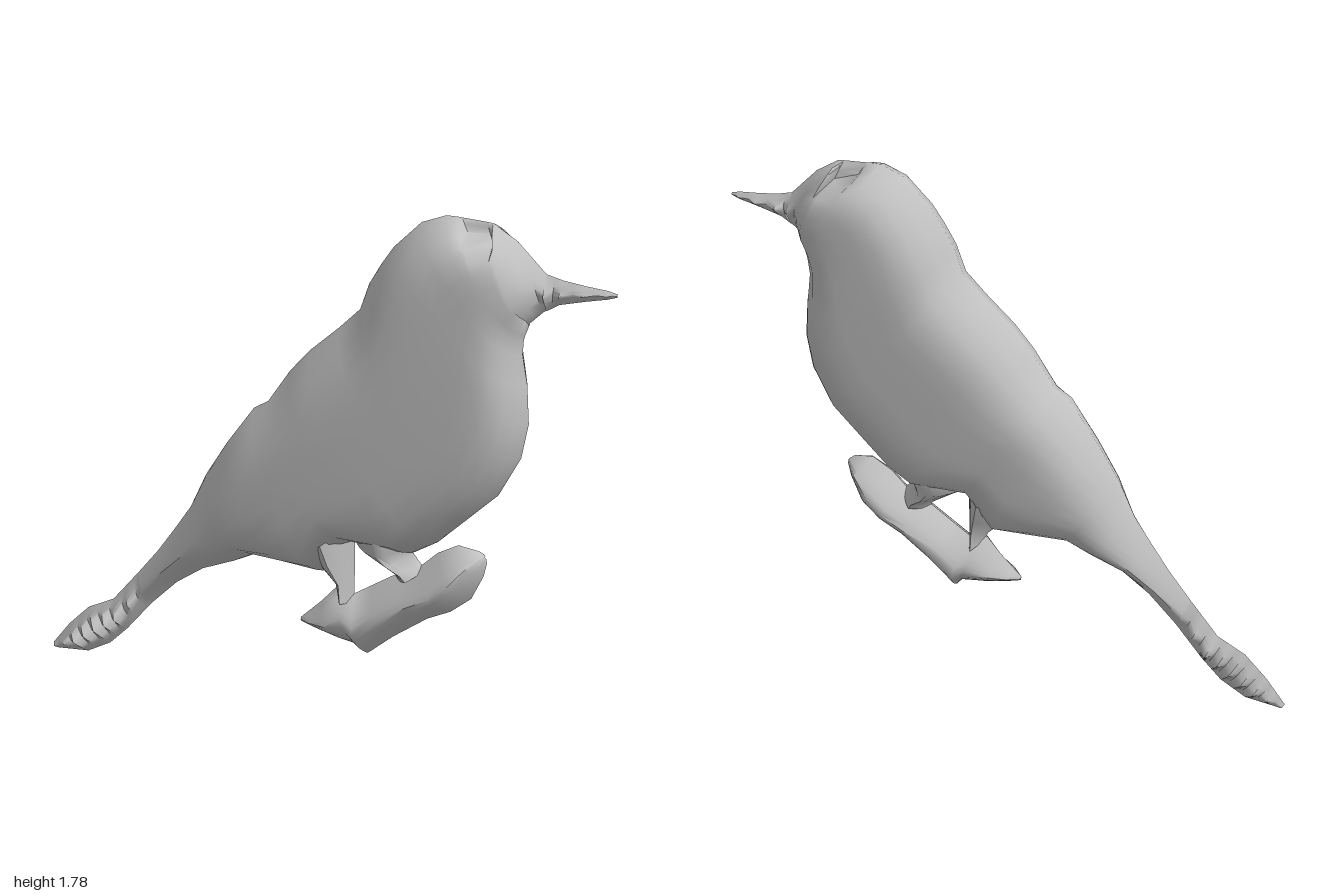
import * as THREE from 'three';
import { toCreasedNormals } from 'three/addons/utils/BufferGeometryUtils.js';

const STEPS = 14; // points across each side of a cross-section

// Each section is [upper x, upper y, lower x, lower y, half thickness, pinch top, pinch bottom].
// The skin swells steeply from a sharp rim to a flat flank on both sides.
function loft(sections) {
  const pos = [], index = [], ring = STEPS * 2;
  for (const [ax, ay, bx, by, h, top = 0, bottom = 0] of sections) {
    const len = Math.hypot(bx - ax, by - ay);
    const power = THREE.MathUtils.clamp(len / 0.13, 1.2, 6);
    for (let j = 0; j < ring; j++) {
      const back = j > STEPS;
      const s = (back ? ring - j : j) / STEPS;
      const u = (1 - Math.cos(s * Math.PI)) / 2;
      let z = h * (1 - Math.pow(Math.abs(2 * u - 1), power));
      if (u * len < top || (1 - u) * len < bottom) z *= 0.2;
      pos.push(ax + (bx - ax) * u, ay + (by - ay) * u, back ? -z : z);
    }
  }
  for (let i = 0; i < sections.length - 1; i++) {
    for (let j = 0; j < ring; j++) {
      const k = (j + 1) % ring;
      const a = i * ring + j, b = i * ring + k;
      index.push(a, b, a + ring, b, b + ring, a + ring);
    }
  }
  const g = new THREE.BufferGeometry();
  g.setAttribute('position', new THREE.Float32BufferAttribute(pos, 3));
  g.setIndex(index);
  return toCreasedNormals(g, 1.0);
}

// Splits sections finely and alternates their thickness for a crinkled surface.
function ruffle(sections, n) {
  const out = [];
  for (let i = 0; i < sections.length - 1; i++) {
    for (let k = 0; k < n; k++) {
      const s = sections[i].map((v, m) => THREE.MathUtils.lerp(v, sections[i + 1][m], k / n));
      if (k % 2) s[4] *= 0.4;
      out.push(s);
    }
  }
  out.push(sections[sections.length - 1]);
  return out;
}

const TAIL = [
  [-1, 0.02, -0.985, 0.0, 0.012],
  [-0.93, 0.11, -0.86, 0.01, 0.05],
  [-0.85, 0.19, -0.77, 0.06, 0.055],
  [-0.75, 0.24, -0.7, 0.13, 0.06],
  [-0.65, 0.36, -0.6, 0.25, 0.035],
];

const BODY = [
  [-0.65, 0.36, -0.6, 0.25, 0.035],
  [-0.57, 0.46, -0.5, 0.35, 0.055],
  [-0.5, 0.56, -0.4, 0.42, 0.085],
  [-0.44, 0.65, -0.28, 0.47, 0.11],
  [-0.38, 0.78, -0.2, 0.51, 0.135],
  [-0.3, 0.91, -0.05, 0.5, 0.15],
  [-0.2, 1.05, 0.06, 0.49, 0.16],
  [-0.15, 1.08, 0.16, 0.62, 0.165],
  [-0.07, 1.2, 0.37, 0.61, 0.17],
  [0, 1.28, 0.45, 0.66, 0.172],
  [0.1, 1.37, 0.55, 0.76, 0.172],
  [0.17, 1.44, 0.65, 0.86, 0.172],
  [0.2, 1.53, 0.72, 1.0, 0.17],
  [0.24, 1.6, 0.74, 1.12, 0.168],
  [0.28, 1.66, 0.73, 1.25, 0.165],
  [0.37, 1.75, 0.71, 1.35, 0.16],
  [0.45, 1.78, 0.712, 1.4, 0.157],
  [0.49, 1.779, 0.715, 1.415, 0.153],
  [0.5, 1.778, 0.717, 1.42, 0.152, 0.07],
  [0.58, 1.772, 0.727, 1.45, 0.141, 0.07, 0.04],
  [0.6, 1.77, 0.73, 1.46, 0.136],
  [0.68, 1.72, 0.75, 1.48, 0.085],
  [0.73, 1.67, 0.77, 1.5, 0.04],
  [0.78, 1.62, 0.785, 1.51, 0.04],
];

const BEAK = [
  [0.775, 1.625, 0.78, 1.505, 0.05],
  [0.83, 1.61, 0.82, 1.53, 0.04],
  [0.9, 1.6, 0.9, 1.55, 0.034],
  [0.97, 1.593, 0.97, 1.565, 0.018],
  [1, 1.585, 1, 1.575, 0.006],
];

const PERCH = [
  [-0.035, 0.295, -0.033, 0.28, 0.005],
  [0, 0.33, 0.01, 0.265, 0.04],
  [0.04, 0.37, 0.1, 0.24, 0.065],
  [0.1, 0.44, 0.19, 0.225, 0.09],
  [0.16, 0.42, 0.21, 0.2, 0.1],
  [0.22, 0.46, 0.3, 0.28, 0.1],
  [0.31, 0.52, 0.42, 0.37, 0.1],
  [0.4, 0.57, 0.5, 0.41, 0.1],
  [0.45, 0.62, 0.57, 0.47, 0.095],
  [0.52, 0.66, 0.61, 0.56, 0.07],
  [0.59, 0.65, 0.62, 0.61, 0.02],
  [0.612, 0.632, 0.617, 0.626, 0.003],
];

// Legs run from the perch up into the belly, leaving a gap between them.
const REAR_LEG = [
  [0.1, 0.42, 0.16, 0.39, 0.07],
  [0.09, 0.45, 0.16, 0.5, 0.07],
  [0.04, 0.5, 0.16, 0.62, 0.11],
  [0, 0.58, 0.16, 0.7, 0.13],
];
const FRONT_LEG = [
  [0.31, 0.5, 0.41, 0.55, 0.07],
  [0.3, 0.525, 0.39, 0.575, 0.08],
  [0.235, 0.57, 0.365, 0.605, 0.1],
  [0.16, 0.62, 0.38, 0.64, 0.12],
  [0.16, 0.7, 0.38, 0.7, 0.13],
];

export function createModel() {
  const group = new THREE.Group();
  const grey = new THREE.MeshStandardMaterial({ color: 0xc0c0c0 });
  grey.name = 'plain grey';
  const parts = {
    tail: ruffle(TAIL, 4),
    body: BODY,
    beak: ruffle(BEAK, 2),
    perch: PERCH,
    rearLeg: REAR_LEG,
    frontLeg: FRONT_LEG,
  };
  for (const [name, sections] of Object.entries(parts)) {
    const mesh = new THREE.Mesh(loft(sections), grey);
    mesh.name = name;
    group.add(mesh);
  }
  return group;
}
